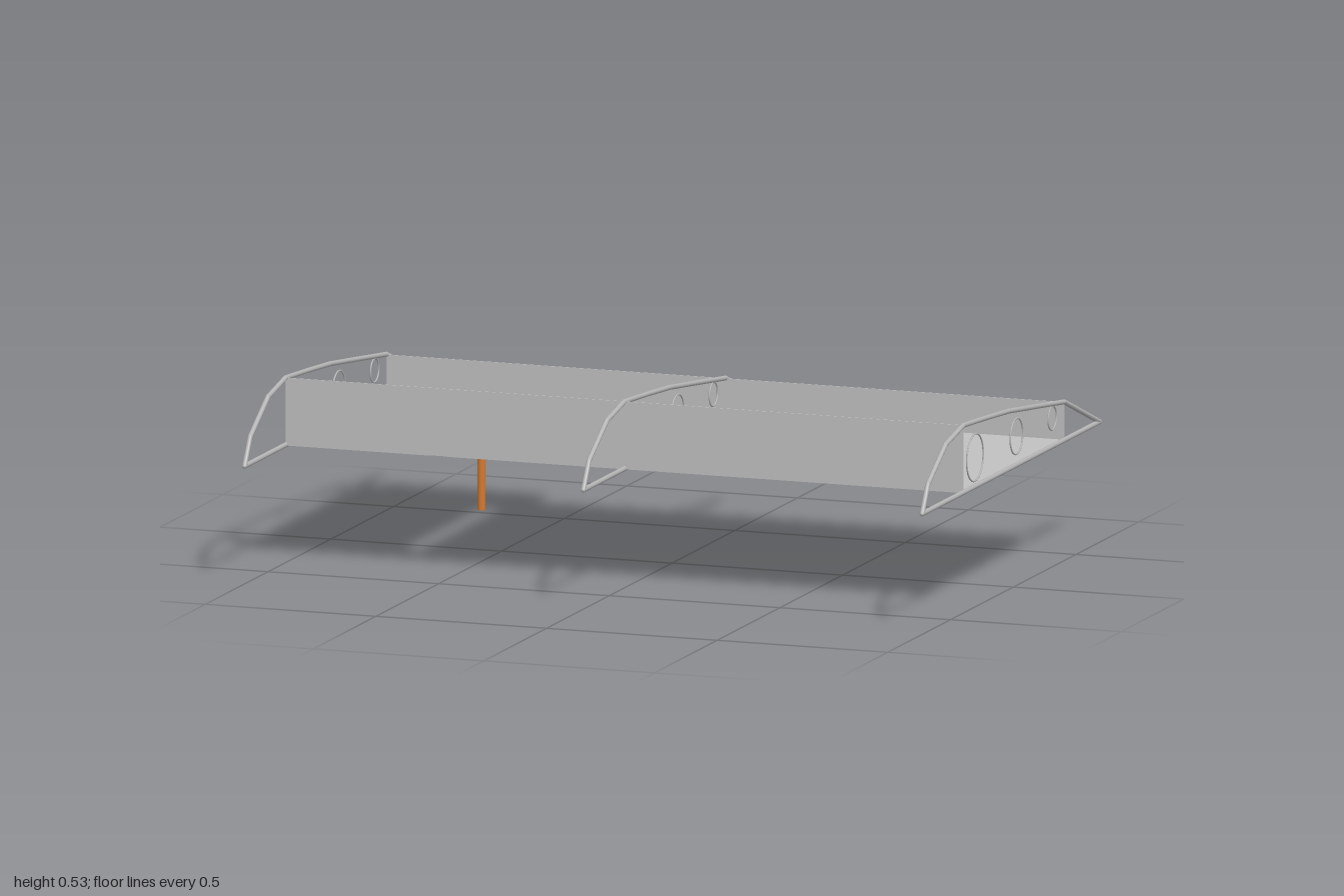
import * as THREE from 'three';

const mat = (name, color) => {
  const m = new THREE.MeshStandardMaterial({ color });
  m.name = name;
  return m;
};

export function createModel() {
  const group = new THREE.Group();
  const skin = mat('silver skin', 0xc0c0c0);
  const frame = mat('rib grey', 0xb4b4b4);
  const teal = mat('flap teal', 0x2ba3c1);
  const orange = mat('arrow orange', 0xd2772f);
  const dark = mat('bracket grey', 0x606060);

  const add = (parent, name, geometry, material, x = 0, y = 0, z = 0) => {
    const mesh = new THREE.Mesh(geometry, material);
    mesh.name = name;
    mesh.position.set(x, y, z);
    parent.add(mesh);
    return mesh;
  };
  // Thin panel given by its limits on each axis
  const panel = (name, material, [x0, x1], [y0, y1], [z0, z1]) =>
    add(group, name, new THREE.BoxGeometry(x1 - x0, y1 - y0, z1 - z0), material,
      (x0 + x1) / 2, (y0 + y1) / 2, (z0 + z1) / 2);

  // Spars and lower skin, with a slot between the two skin panels
  const end = 0.993;
  panel('frontSpar', skin, [-end, end], [0.333, 0.522], [0.376, 0.379]);
  panel('rearSpar', skin, [-end, end], [0.333, 0.44], [-0.427, -0.424]);
  panel('mainLowerSkin', skin, [-0.52, end], [0.332, 0.335], [-0.427, 0.379]);
  panel('outerLowerSkin', skin, [-end, -0.572], [0.332, 0.335], [-0.568, 0.379]);

  // Rib outline as [z, y], closed along the bottom
  const outline = [
    [0.707, 0.334], [0.662, 0.408], [0.52, 0.494], [0.38, 0.522],
    [0.2, 0.51], [0.02, 0.496], [-0.2, 0.469], [-0.425, 0.441], [-0.707, 0.334],
  ].map(([z, y]) => new THREE.Vector3(0, y, z));
  const holes = [[0.286, 0.415, 0.066], [-0.045, 0.414, 0.05], [-0.33, 0.413, 0.033]];
  const r = 0.007;

  for (const x of [-end, 0, end]) {
    const rib = new THREE.Group();
    rib.name = 'rib';
    rib.position.x = x;
    group.add(rib);
    outline.forEach((a, i) => {
      const b = outline[(i + 1) % outline.length];
      const dir = b.clone().sub(a);
      const rod = add(rib, 'ribRod', new THREE.CylinderGeometry(r, r, dir.length(), 12), frame);
      rod.position.copy(a).add(b).multiplyScalar(0.5);
      rod.quaternion.setFromUnitVectors(new THREE.Vector3(0, 1, 0), dir.normalize());
      add(rib, 'ribJoint', new THREE.SphereGeometry(r, 12, 8), frame, a.x, a.y, a.z);
    });
    // Rings marking the lightening holes
    for (const [z, y, radius] of holes) {
      const ring = add(rib, 'holeRing', new THREE.TorusGeometry(radius, 0.0025, 8, 40), frame, 0, y, z);
      ring.rotation.y = Math.PI / 2;
    }
  }

  // Control flap below the trailing edge, with three brackets
  panel('flap', teal, [-0.993, -0.522], [0.235, 0.239], [-0.66, -0.425]);
  for (const x of [-0.945, -0.757, -0.568])
    add(group, 'flapBracket', new THREE.CylinderGeometry(0.007, 0.007, 0.044, 16), dark, x, 0.214, -0.47);

  // Arrow pushing up under the flap
  add(group, 'arrowShaft', new THREE.CylinderGeometry(0.011, 0.011, 0.187, 24), orange, -0.757, 0.0935, -0.54);
  add(group, 'arrowHead', new THREE.ConeGeometry(0.036, 0.027, 24), orange, -0.757, 0.1985, -0.54);

  return group;
}
